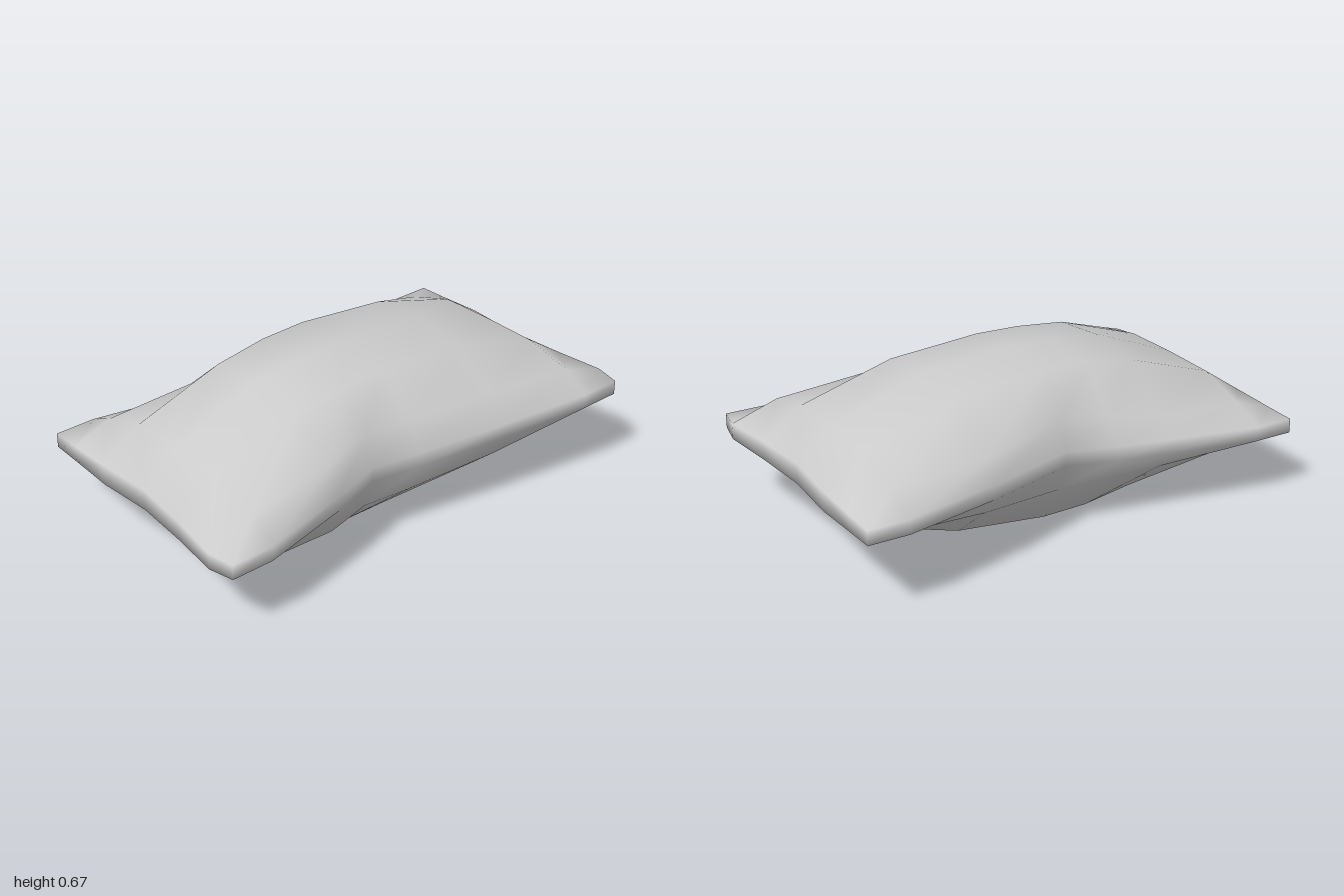
import * as THREE from 'three';

export function createModel() {
  const group = new THREE.Group();

  const seam = 0.03; // half thickness of the flat seam band
  // Cross-sections from back to front: z, then [x, half thickness] from right edge to left edge
  const rows = [
    [-0.97, [-0.59, seam], [-0.45, 0.034], [-0.25, 0.042], [0, 0.043], [0.25, 0.039], [0.47, 0.033], [0.58, seam]],
    [-0.8, [-0.59, seam], [-0.46, 0.09], [-0.25, 0.155], [0, 0.158], [0.25, 0.153], [0.47, 0.1], [0.58, seam]],
    [-0.4, [-0.51, seam], [-0.45, 0.108], [-0.25, 0.275], [0, 0.3], [0.25, 0.27], [0.46, 0.138], [0.53, seam]],
    [0, [-0.4, seam], [-0.355, 0.15], [-0.25, 0.317], [0, 0.335], [0.25, 0.302], [0.42, 0.15], [0.47, seam]],
    [0.2, [-0.46, seam], [-0.4, 0.13], [-0.25, 0.312], [0, 0.33], [0.25, 0.298], [0.385, 0.16], [0.43, seam]],
    [0.42, [-0.51, seam], [-0.45, 0.108], [-0.25, 0.278], [0, 0.305], [0.25, 0.277], [0.45, 0.148], [0.5, seam]],
    [0.8, [-0.59, seam], [-0.46, 0.09], [-0.25, 0.155], [0, 0.16], [0.25, 0.155], [0.48, 0.108], [0.59, seam]],
    [0.97, [-0.59, seam], [-0.45, 0.034], [-0.25, 0.042], [0, 0.043], [0.25, 0.039], [0.48, 0.033], [0.59, seam]],
  ];
  const endBulge = [0, 0, 0, -0.02, 0, 0.028, 0.005]; // wavy outline of both ends
  const columns = endBulge.length;
  const ring = columns * 2;
  const last = rows.length - 1;
  const positions = [];
  const index = [];

  rows.forEach(([z, ...profile], i) => {
    const end = i === 0 ? -1 : i === last ? 1 : 0;
    const add = (j, side) => {
      const [x, half] = profile[j];
      const zz = z + end * endBulge[j];
      positions.push(x, 0.336 - 0.03 * zz + side * half, zz);
    };
    for (let j = 0; j < columns; j++) add(j, 1);
    for (let j = columns - 1; j >= 0; j--) add(j, -1);
  });

  const quad = (a, b, c, d) => index.push(a, b, c, a, c, d);
  // Upper and lower cloth with the side seams
  for (let i = 0; i < last; i++) {
    for (let j = 0; j < ring; j++) {
      const k = (j + 1) % ring;
      quad(i * ring + j, (i + 1) * ring + j, (i + 1) * ring + k, i * ring + k);
    }
  }
  // Narrow bands closing the front and back ends
  const front = last * ring;
  for (let j = 0; j < columns - 1; j++) {
    const low = ring - 1 - j;
    quad(front + low, front + low - 1, front + j + 1, front + j);
    quad(low, j, j + 1, low - 1);
  }

  const geometry = new THREE.BufferGeometry();
  geometry.setAttribute('position', new THREE.Float32BufferAttribute(positions, 3));
  geometry.setIndex(index);
  geometry.computeVertexNormals();

  const pillow = new THREE.Mesh(geometry, new THREE.MeshStandardMaterial({ color: 0xcccccc }));
  pillow.name = 'pillow';
  group.add(pillow);
  return group;
}
